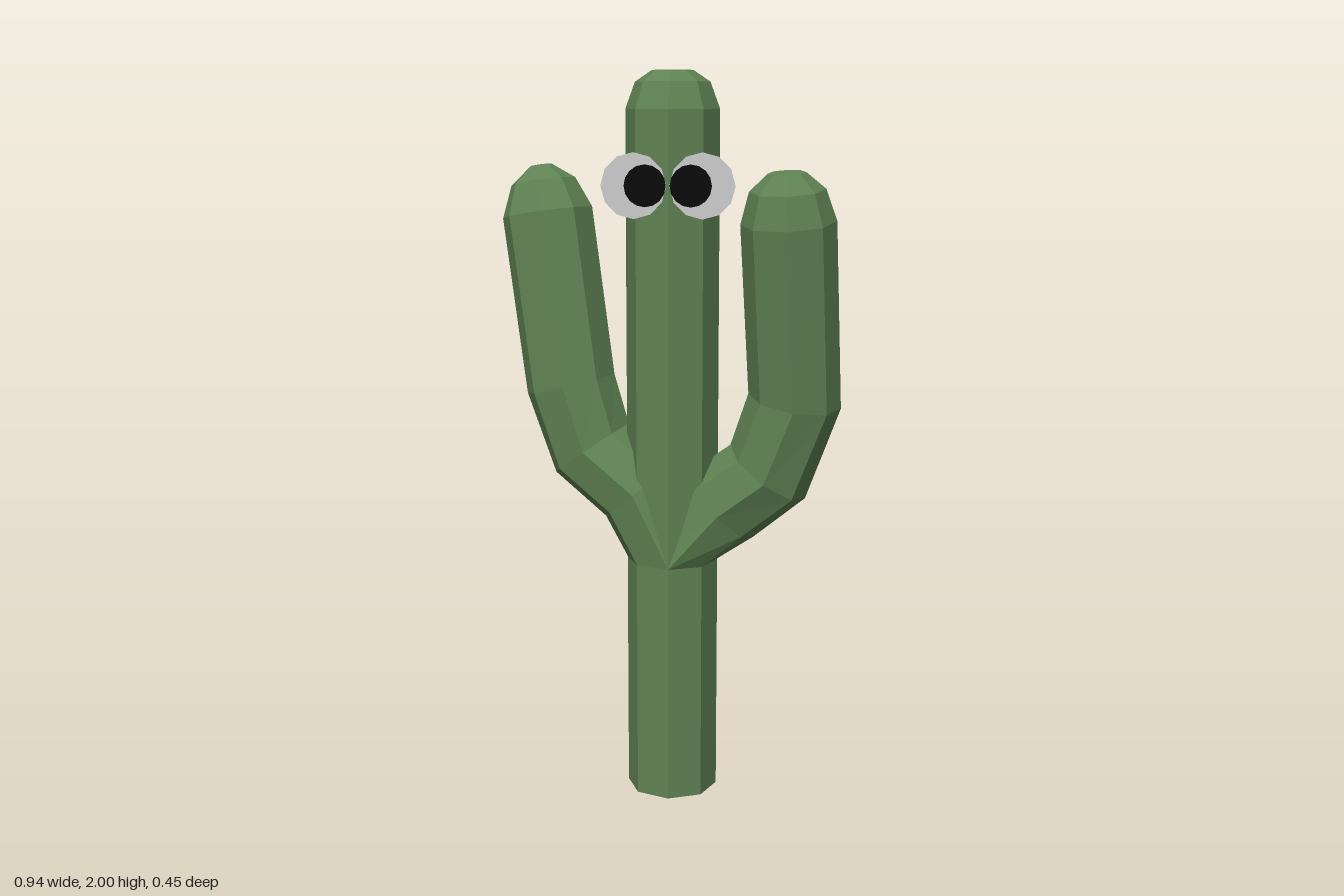
import * as THREE from 'three';

const SIDES = 8;
const R = 0.126;

// Eight-sided limb swept along rings of [x, y, z], with a stepped dome on its end.
function limb(name, points, dome, material) {
  const path = points.map((p) => new THREE.Vector3(...p));
  const last = path.length - 1;
  const rings = path.map((centre, i) => {
    const tangent = i === 0
      ? new THREE.Vector3(0, 1, 0)
      : path[Math.min(i + 1, last)].clone().sub(centre).normalize()
        .add(centre.clone().sub(path[i - 1]).normalize()).normalize();
    return { centre, tangent, radius: R };
  });
  const end = rings[last];
  for (const [rise, radius] of dome) {
    rings.push({ centre: end.centre.clone().addScaledVector(end.tangent, rise), tangent: end.tangent, radius });
  }

  const positions = [];
  for (const { centre, tangent, radius } of rings) {
    // One corner of every ring points to the front
    const n = new THREE.Vector3(0, 0, 1).addScaledVector(tangent, -tangent.z).normalize();
    const b = tangent.clone().cross(n);
    for (let k = 0; k < SIDES; k++) {
      const a = (k / SIDES) * Math.PI * 2;
      const v = centre.clone().addScaledVector(n, radius * Math.cos(a)).addScaledVector(b, radius * Math.sin(a));
      positions.push(v.x, v.y, v.z);
    }
  }
  const index = [];
  const top = (rings.length - 1) * SIDES;
  for (let k = 0; k < SIDES; k++) {
    const k1 = (k + 1) % SIDES;
    for (let i = 0; i < top; i += SIDES) {
      index.push(i + k, i + k1, i + SIDES + k1, i + k, i + SIDES + k1, i + SIDES + k);
    }
    // Flat end caps
    if (k > 0 && k1 > 0) index.push(0, k1, k, top, top + k, top + k1);
  }
  const geometry = new THREE.BufferGeometry();
  geometry.setAttribute('position', new THREE.Float32BufferAttribute(positions, 3));
  geometry.setIndex(index);
  geometry.computeVertexNormals();
  const mesh = new THREE.Mesh(geometry, material);
  mesh.name = name;
  return mesh;
}

export function createModel() {
  const model = new THREE.Group();
  model.name = 'cactus';
  const green = new THREE.MeshStandardMaterial({ color: 0x5f8253, flatShading: true });
  const white = new THREE.MeshStandardMaterial({ color: 0xcccccc, side: THREE.DoubleSide });
  const black = new THREE.MeshStandardMaterial({ color: 0x0a0a0a, side: THREE.DoubleSide });

  // Trunk
  model.add(limb('trunk', [[0.01, 0, 0], [0.01, 1.9, 0]], [[0.07, 0.1], [0.1, 0.055]], green));

  // Arms, both growing out of the trunk at the same height
  model.add(limb('leftArm', [
    [0.01, 0.67, 0], [0.15, 0.83, 0.01], [0.275, 0.93, 0.03], [0.345, 1.13, 0.045], [0.323, 1.61, 0.1],
  ], [[0.085, 0.1], [0.13, 0.05]], green));
  model.add(limb('rightArm', [
    [0.01, 0.67, 0], [-0.08, 0.86, -0.015], [-0.22, 0.97, -0.045], [-0.28, 1.15, -0.055], [-0.347, 1.62, -0.1],
  ], [[0.085, 0.09], [0.13, 0.03]], green));

  // Flat round eyes with pupils turned inward
  for (const side of [-1, 1]) {
    const name = side > 0 ? 'left' : 'right';
    const eye = new THREE.Mesh(new THREE.CircleGeometry(0.086, 12), white);
    eye.name = name + 'Eye';
    eye.position.set(0.01 + side * 0.09, 1.705, 0.128);
    const pupil = new THREE.Mesh(new THREE.CircleGeometry(0.055, 16), black);
    pupil.name = name + 'Pupil';
    pupil.position.set(0.01 + side * 0.06, 1.705, 0.131);
    model.add(eye, pupil);
  }
  return model;
}
